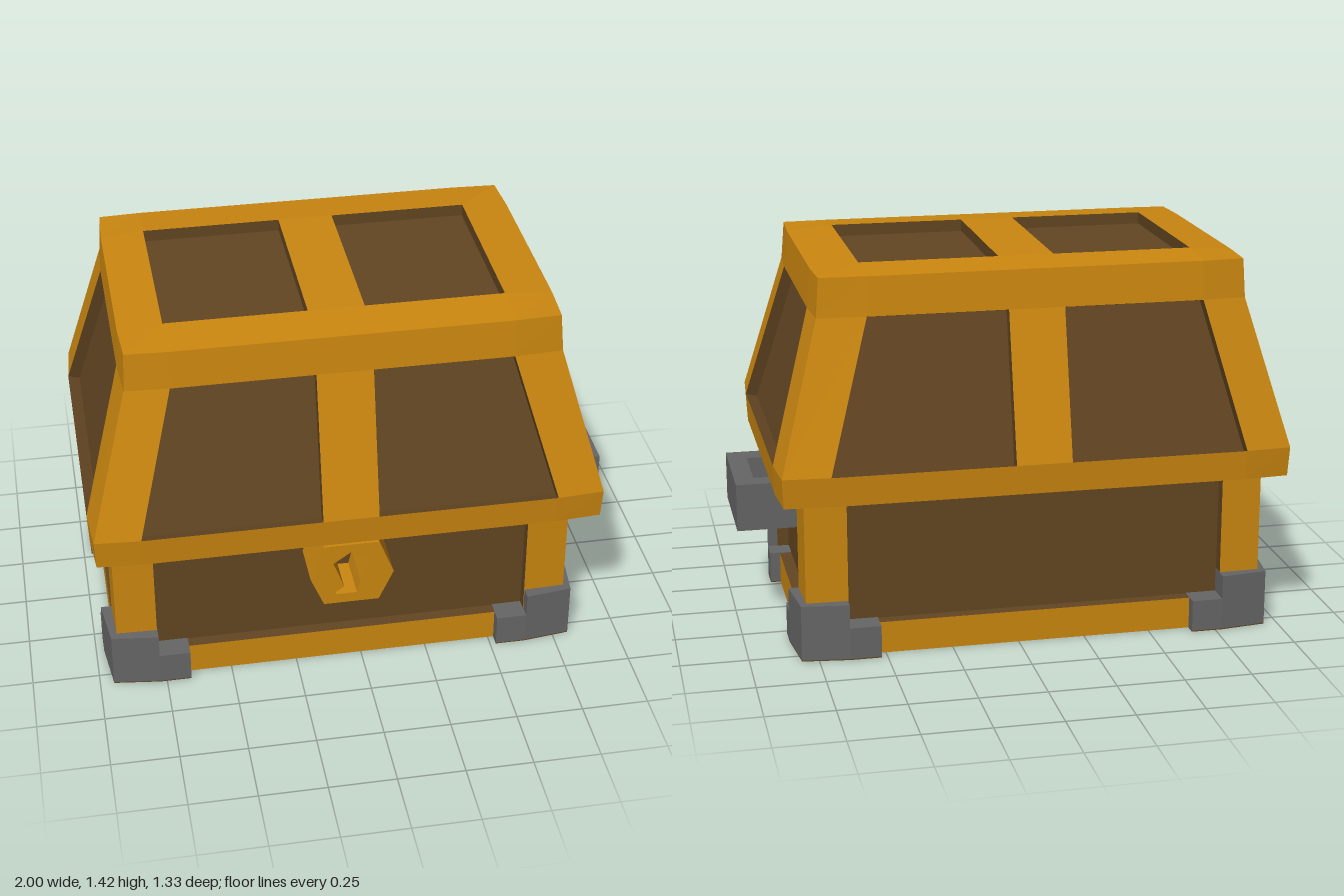
import * as THREE from 'three';

const mat = (color) => new THREE.MeshStandardMaterial({ color, flatShading: true });
const V = (x, y, z) => new THREE.Vector3(x, y, z);

// collects quads and triangles into one mesh
class Surface {
  constructor() { this.pts = []; }
  tri(a, b, c) { this.pts.push(a, b, c); }
  quad(a, b, c, d) { this.tri(a, b, c); this.tri(a, c, d); }
  mesh(name, material) {
    const g = new THREE.BufferGeometry().setFromPoints(this.pts);
    g.computeVertexNormals();
    const m = new THREE.Mesh(g, material);
    m.name = name;
    return m;
  }
}

// grid of points (rows bottom to top, columns left to right from outside);
// cells listed in pockets become sunken panels
function addFace(frame, panel, grid, pockets, depth) {
  for (let r = 0; r < grid.length - 1; r++) {
    for (let c = 0; c < grid[r].length - 1; c++) {
      const q = [grid[r][c], grid[r][c + 1], grid[r + 1][c + 1], grid[r + 1][c]];
      if (!pockets.some(([pr, pc]) => pr === r && pc === c)) { frame.quad(...q); continue; }
      const n = q[1].clone().sub(q[0]).cross(q[3].clone().sub(q[0])).normalize();
      const f = q.map((p) => p.clone().addScaledVector(n, -depth));
      panel.quad(...f);
      q.forEach((p, i) => panel.quad(p, q[(i + 1) % 4], f[(i + 1) % 4], f[i]));
    }
  }
}

// four walls from rows of {y, x0, x1, z, xs, zs, cut}; xs and zs are inner columns
function wallGrids(rows) {
  const side = (fn) => rows.map(fn);
  const ends = (list, cornerA, cornerB) => [cornerA, ...list, cornerB];
  const corner = (o, sx, sz) => V(sx > 0 ? o.x1 - o.cut : o.x0 + o.cut, o.y, sz * (o.z - o.cut));
  return [
    side((o) => ends(o.xs.map((x) => V(x, o.y, o.z)), corner(o, -1, 1), corner(o, 1, 1))),
    side((o) => ends(o.zs.map((z) => V(o.x1, o.y, -z)), corner(o, 1, 1), corner(o, 1, -1))),
    side((o) => ends([...o.xs].reverse().map((x) => V(x, o.y, -o.z)), corner(o, 1, -1), corner(o, -1, -1))),
    side((o) => ends(o.zs.map((z) => V(o.x0, o.y, z)), corner(o, -1, -1), corner(o, -1, 1))),
  ];
}

// closes the underside of a set of walls
function addBottom(surface, grids, centre) {
  for (const g of grids)
    for (let i = 0; i < g[0].length - 1; i++) surface.tri(centre, g[0][i + 1], g[0][i]);
}

// upright prism from an outline in x and z
function prism(name, outline, y0, y1, material) {
  const shape = new THREE.Shape(outline.map(([x, z]) => new THREE.Vector2(x, -z)));
  const g = new THREE.ExtrudeGeometry(shape, { depth: y1 - y0, bevelEnabled: false });
  g.rotateX(-Math.PI / 2).translate(0, y0, 0);
  const m = new THREE.Mesh(g, material);
  m.name = name;
  return m;
}

export function createModel() {
  const root = new THREE.Group();
  root.name = 'chest';
  const gold = mat(0xcb8710), brown = mat(0x634622), iron = mat(0x666666);
  const depth = 0.045;

  // body: posts and bottom rail around one sunken panel per side
  const bodyFrame = new Surface(), bodyPanels = new Surface(), base = new Surface();
  const bodyGrids = wallGrids([0, 0.12, 0.622].map((y) => (
    { y, x0: -0.93, x1: 0.795, z: 0.53, xs: [-0.775, 0.635], zs: [-0.355, 0.355], cut: 0.005 })));
  bodyGrids.forEach((g) => addFace(bodyFrame, bodyPanels, g, [[1, 1]], depth));
  addBottom(base, bodyGrids, V(-0.065, 0, 0));
  root.add(bodyFrame.mesh('bodyFrame', gold), bodyPanels.mesh('bodyPanels', brown), base.mesh('base', brown));

  // lid: flared walls, two windows front and back, one at each end
  const lidFrame = new Surface(), lidPanels = new Surface();
  const wide = { xs: [-0.82, -0.165, 0.04, 0.705], zs: [-0.48, 0.48] };
  const narrow = { xs: [-0.68, -0.165, 0.04, 0.55], zs: [-0.345, 0.345] };
  const lidRows = [
    { y: 0.62, x0: -0.995, x1: 0.885, z: 0.657, ...wide, cut: 0.012 },
    { y: 0.73, x0: -1, x1: 0.89, z: 0.665, ...wide, cut: 0.012 },
    { y: 1.27, x0: -0.85, x1: 0.738, z: 0.528, ...narrow, cut: 0.01 },
    { y: 1.412, x0: -0.84, x1: 0.725, z: 0.517, ...narrow, cut: 0.008 },
  ];
  const lidGrids = wallGrids(lidRows);
  lidGrids.forEach((g, i) => addFace(lidFrame, lidPanels, g, i % 2 ? [[1, 1]] : [[1, 1], [1, 3]], depth));
  addBottom(lidFrame, lidGrids, V(-0.055, 0.62, 0));

  // lid top, slightly crowned
  const [front, right, back, left] = lidGrids.map((g) => g[3]);
  const inner = (z) => narrow.xs.map((x) => V(x, 1.425, z));
  const topGrid = [
    front,
    [left[2], ...inner(0.345), right[1]],
    [left[1], ...inner(-0.345), right[2]],
    [...back].reverse(),
  ];
  addFace(lidFrame, lidPanels, topGrid, [[1, 1], [1, 3]], depth);
  root.add(lidFrame.mesh('lidFrame', gold), lidPanels.mesh('lidPanels', brown));

  // stepped corner feet with dark soles
  for (const sx of [-1, 1]) {
    for (const sz of [-1, 1]) {
      const place = (list) => list.map(([x, z]) => [-0.068 + sx * x, sz * z]);
      const tip = [0.88, 0.553];
      const low = place([[0.59, 0.272], [0.902, 0.272], [0.902, 0.357], tip, [0.705, 0.575], [0.59, 0.575]]);
      const high = place([[0.705, 0.357], [0.902, 0.357], tip, [0.705, 0.575]]);
      const foot = new THREE.Group();
      foot.name = 'cornerFoot';
      foot.add(prism('sole', low, 0, 0.004, brown), prism('footStep', low, 0.004, 0.123, iron),
        prism('footCorner', high, 0.123, 0.213, iron));
      root.add(foot);
    }
  }

  // six-sided lock plate with a keyhole
  const pts = (list) => list.map(([x, y]) => new THREE.Vector2(x, y));
  const plate = new THREE.Shape(pts([[-0.165, 0.62], [-0.215, 0.48], [-0.165, 0.36],
    [0.04, 0.36], [0.095, 0.48], [0.04, 0.62]]));
  plate.holes.push(new THREE.Path(pts([[-0.065, 0.585], [0, 0.54], [-0.03, 0.455], [-0.042, 0.4],
    [-0.12, 0.4], [-0.12, 0.412], [-0.09, 0.43], [-0.108, 0.485], [-0.13, 0.54]])));
  const lockGeo = new THREE.ExtrudeGeometry(plate, { depth: 0.18, bevelEnabled: false });
  const lock = new THREE.Mesh(lockGeo.translate(0, 0, 0.488), gold);
  lock.name = 'lockPlate';
  root.add(lock);

  // side handle
  root.add(prism('handle', [[0.74, 0.21], [1, 0.21], [1, -0.2], [0.74, -0.2],
    [0.74, -0.125], [0.928, -0.125], [0.928, 0.125], [0.74, 0.125]], 0.393, 0.573, iron));

  return root;
}
